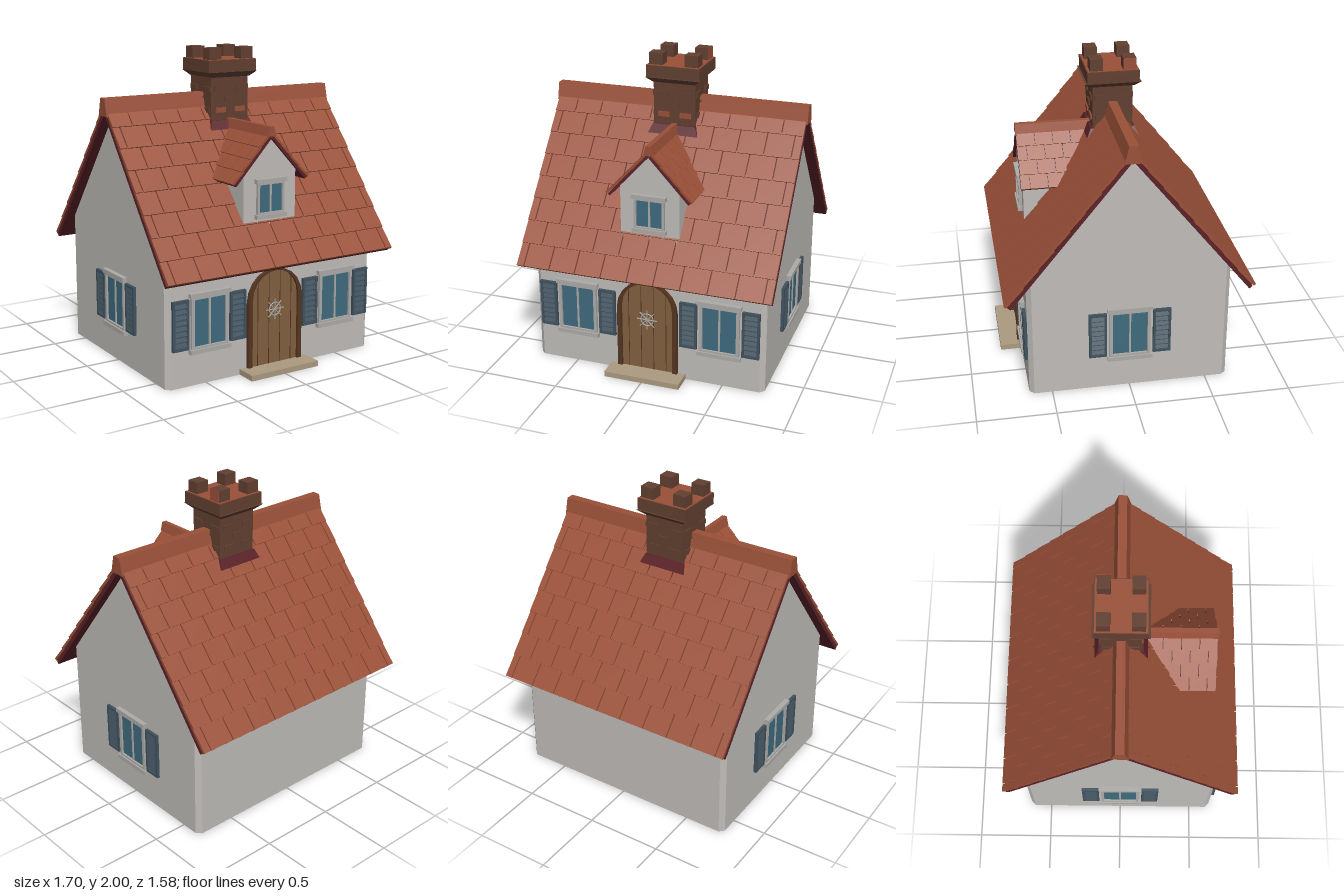
import * as THREE from 'three';

const mat = (name, color, side = THREE.FrontSide) => {
  const m = new THREE.MeshStandardMaterial({ color, side });
  m.name = name;
  return m;
};
const M = {
  wall: mat('plaster', 0xbfbcb8),
  tile: mat('clayTile', 0x9a5038),
  under: mat('darkRed', 0x5c2228),
  brick: mat('brownBrick', 0x613f30),
  glass: mat('blueGlass', 0x3f6b7e),
  shutter: mat('slateShutter', 0x40525e),
  trim: mat('stoneTrim', 0xadaba8),
  door: mat('doorWood', 0x80603f),
  frame: mat('darkWood', 0x55351f),
  step: mat('stepStone', 0xab9a80),
};

function add(parent, name, geo, material, x = 0, y = 0, z = 0) {
  const mesh = new THREE.Mesh(geo, material);
  mesh.name = name;
  mesh.position.set(x, y, z);
  parent.add(mesh);
  return mesh;
}
const box = (p, name, m, w, h, d, x, y, z) => add(p, name, new THREE.BoxGeometry(w, h, d), m, x, y, z);

function group(parent, name, x = 0, y = 0, z = 0, ry = 0) {
  const g = new THREE.Group();
  g.name = name;
  g.position.set(x, y, z);
  g.rotation.y = ry;
  parent.add(g);
  return g;
}

// Prism from [x, y] points, running along z and centred on it
function prism(points, depth) {
  const shape = new THREE.Shape(points.map(([x, y]) => new THREE.Vector2(x, y)));
  return new THREE.ExtrudeGeometry(shape, { depth, bevelEnabled: false }).translate(0, 0, -depth / 2);
}

// Square block with different half-widths at bottom and top
function frustum(bottom, top, h) {
  const g = new THREE.CylinderGeometry(top * Math.SQRT2, bottom * Math.SQRT2, h, 4)
    .rotateY(Math.PI / 4).toNonIndexed();
  g.computeVertexNormals();
  return g;
}

// One slope: dark slab with staggered, overlapping tiles; it runs down local +z from the ridge
function roofSlope(parent, name, o) {
  const g = group(parent, name);
  g.rotation.x = o.angle;
  box(g, 'roofBoard', M.under, o.half * 2, o.board, o.length, 0, o.board / 2, o.length / 2);
  for (let r = 0; r < o.rows; r++) {
    const low = o.length + 0.005 - r * o.pitch;
    const len = Math.min(o.pitch * 1.1, low);
    const start = (r % 2 ? 0 : 0.5) * o.tile;
    for (let k = -8; k < 8; k++) {
      const a = Math.max(-o.half, start + k * o.tile + o.gap / 2);
      const b = Math.min(o.half, start + (k + 1) * o.tile - o.gap / 2);
      if (b - a < 0.01) continue;
      const t = box(g, 'roofTile', M.tile, b - a, o.thick, len, (a + b) / 2, o.board + o.thick * 0.6, low - len / 2);
      t.rotation.x = -o.thick * 0.45 / o.pitch;
    }
  }
}

// Window facing +z, with its wall at z = 0
function windowUnit(parent, name, hw, hh, x, y, z, ry, shutters) {
  const g = group(parent, name, x, y, z, ry);
  box(g, 'glass', M.glass, hw * 2 - 0.02, hh * 2 - 0.02, 0.008, 0, 0, 0.004);
  const bar = hw > 0.11 ? 0.02 : 0.015;
  for (const s of [-1, 1]) {
    box(g, 'frameSide', M.trim, bar, hh * 2, 0.022, s * (hw - bar / 2), 0, 0.01);
    box(g, 'frameRail', M.trim, hw * 2, bar * 0.8, 0.022, 0, s * (hh - bar * 0.4), 0.01);
    box(g, s > 0 ? 'lintel' : 'sill', M.trim, hw * 2 + 0.025, 0.028, 0.034, 0, s * (hh + 0.012), 0.014);
  }
  box(g, 'mullion', M.trim, 0.012, hh * 2, 0.016, 0, 0, 0.007);
  if (!shutters) return;
  for (const s of [-1, 1]) {
    const sh = group(g, 'shutter', s * 0.205, 0, 0);
    box(sh, 'shutterPanel', M.shutter, 0.114, 0.315, 0.01, 0, 0, 0.005);
    for (const e of [-1, 1]) {
      box(sh, 'shutterStile', M.shutter, 0.016, 0.315, 0.02, e * 0.049, 0, 0.01);
      box(sh, 'shutterRail', M.shutter, 0.084, 0.016, 0.02, 0, e * 0.1495, 0.01);
    }
    for (let i = 0; i < 8; i++) {
      const slat = box(sh, 'slat', M.shutter, 0.084, 0.026, 0.006, 0, -0.123 + i * 0.035, 0.012);
      slat.rotation.x = -0.4;
    }
  }
}

// Round-topped outline for the door
function archPoints(r, spring, bottom) {
  const pts = [[-r, bottom], [r, bottom]];
  for (let i = 0; i <= 10; i++) {
    const a = i / 10 * Math.PI;
    pts.push([r * Math.cos(a), spring + r * Math.sin(a)]);
  }
  return pts;
}

export function createModel() {
  const house = new THREE.Group();
  house.name = 'cottage';

  // Walls with chamfered corners, and the gable above
  const X = 0.775, Z = 0.645, c = 0.03;
  const plan = [[X, Z - c], [X - c, Z], [c - X, Z], [-X, Z - c], [-X, c - Z], [c - X, -Z], [X - c, -Z], [X, c - Z]];
  add(house, 'walls', prism(plan, 0.82).rotateX(-Math.PI / 2), M.wall, 0, 0.41, 0);
  const gable = [[-0.615, 0.81], [0.615, 0.81], [0.615, 0.851], [0, 1.62], [-0.615, 0.851]];
  add(house, 'gable', prism(gable, X * 2).rotateY(Math.PI / 2), M.wall);

  // Main roof
  for (const ry of [0, Math.PI]) {
    const side = group(house, 'mainRoofSide', 0, 1.612, 0, ry);
    roofSlope(side, 'mainSlope', {
      angle: Math.atan(1.25), half: 0.84, length: 1.195, board: 0.026,
      rows: 8, pitch: 0.1535, tile: 0.1755, gap: 0.008, thick: 0.018,
    });
  }
  const ridge = [[-0.055, 1.6], [0.055, 1.6], [0.028, 1.712], [-0.028, 1.712]];
  add(house, 'ridgeCap', prism(ridge, 1.7).rotateY(Math.PI / 2), M.tile);

  // Dormer
  const dormer = group(house, 'dormer');
  const dWall = [[-0.195, 0.9], [0.195, 0.9], [0.195, 1.265], [0, 1.475], [-0.195, 1.265]];
  add(dormer, 'dormerWall', prism(dWall, 0.49), M.wall, 0, 0, 0.345);
  for (const s of [-1, 1]) {
    const side = group(dormer, 'dormerRoofSide', 0, 1.472, 0.378, s * Math.PI / 2);
    roofSlope(side, 'dormerSlope', {
      angle: Math.atan(1.08), half: 0.23, length: 0.38, board: 0.018,
      rows: 4, pitch: 0.096, tile: 0.115, gap: 0.006, thick: 0.014,
    });
  }
  const dRidge = [[-0.032, 1.485], [0.032, 1.485], [0.016, 1.545], [-0.016, 1.545]];
  add(dormer, 'dormerRidge', prism(dRidge, 0.49), M.tile, 0, 0, 0.367);
  windowUnit(dormer, 'dormerWindow', 0.1, 0.1, 0, 1.098, 0.59, 0, false);

  // Chimney
  const chimney = group(house, 'chimney');
  add(chimney, 'flashing', frustum(0.195, 0.142, 0.12), M.under, 0, 1.475, 0);
  box(chimney, 'stack', M.brick, 0.28, 0.43, 0.255, 0, 1.6, 0);
  add(chimney, 'capTaper', frustum(0.14, 0.178, 0.035), M.brick, 0, 1.828, 0);
  box(chimney, 'cap', M.brick, 0.356, 0.078, 0.33, 0, 1.883, 0);
  box(chimney, 'capTop', M.tile, 0.346, 0.006, 0.32, 0, 1.922, 0);
  for (const x of [-0.118, 0.118]) {
    for (const z of [-0.105, 0.105]) box(chimney, 'pot', M.brick, 0.09, 0.08, 0.082, x, 1.96, z);
  }
  box(chimney, 'potFace', M.tile, 0.004, 0.078, 0.08, 0.164, 1.96, -0.105);
  const bricks = [[-0.08, 1.74], [0.085, 1.735], [0, 1.67], [-0.07, 1.6], [0.075, 1.6]];
  for (let f = 0; f < 4; f++) {
    const face = group(chimney, 'brickFace', 0, 0, 0, f * Math.PI / 2);
    const d = f % 2 ? 0.14 : 0.1275;
    bricks.forEach(([x, y], i) =>
      box(face, 'brick', f === 0 && i > 2 ? M.tile : M.brick, 0.075, 0.032, 0.012, x, y, d + 0.003));
  }

  // Windows with shutters on the front and both ends
  for (const s of [-1, 1]) {
    windowUnit(house, 'frontWindow', 0.131, 0.165, s * 0.48, 0.398, Z, 0, true);
    windowUnit(house, 'sideWindow', 0.131, 0.165, s * X, 0.398, 0, s * Math.PI / 2, true);
  }

  // Door, arched frame, planks and step
  const door = group(house, 'door', 0, 0, Z);
  const toV = pts => pts.map(([x, y]) => new THREE.Vector2(x, y));
  const arch = new THREE.Shape(toV(archPoints(0.203, 0.458, 0.03)));
  arch.holes.push(new THREE.Path(toV(archPoints(0.172, 0.475, 0.031))));
  add(door, 'doorFrame', new THREE.ExtrudeGeometry(arch, { depth: 0.034, bevelEnabled: false }), M.frame, 0, 0, -0.01);
  add(door, 'doorPanel', prism(archPoints(0.175, 0.475, 0.03), 0.02), M.door);
  for (const x of [-0.126, -0.042, 0.042, 0.126]) {
    const h = 0.44 + Math.sqrt(0.172 ** 2 - x * x);
    box(door, 'plankGroove', M.frame, 0.004, h, 0.004, x, 0.032 + h / 2, 0.0105);
  }
  box(house, 'doorStep', M.step, 0.506, 0.036, 0.15, 0, 0.018, 0.71);

  // Wheel ornament on the door
  const wheel = group(door, 'wheelOrnament', 0, 0.393, 0.016);
  add(wheel, 'wheelRing', new THREE.TorusGeometry(0.042, 0.004, 6, 24), M.trim);
  for (let i = 0; i < 4; i++) {
    box(wheel, 'spoke', M.trim, 0.135, 0.005, 0.006, 0, 0, 0).rotation.z = i * Math.PI / 4;
  }
  return house;
}
